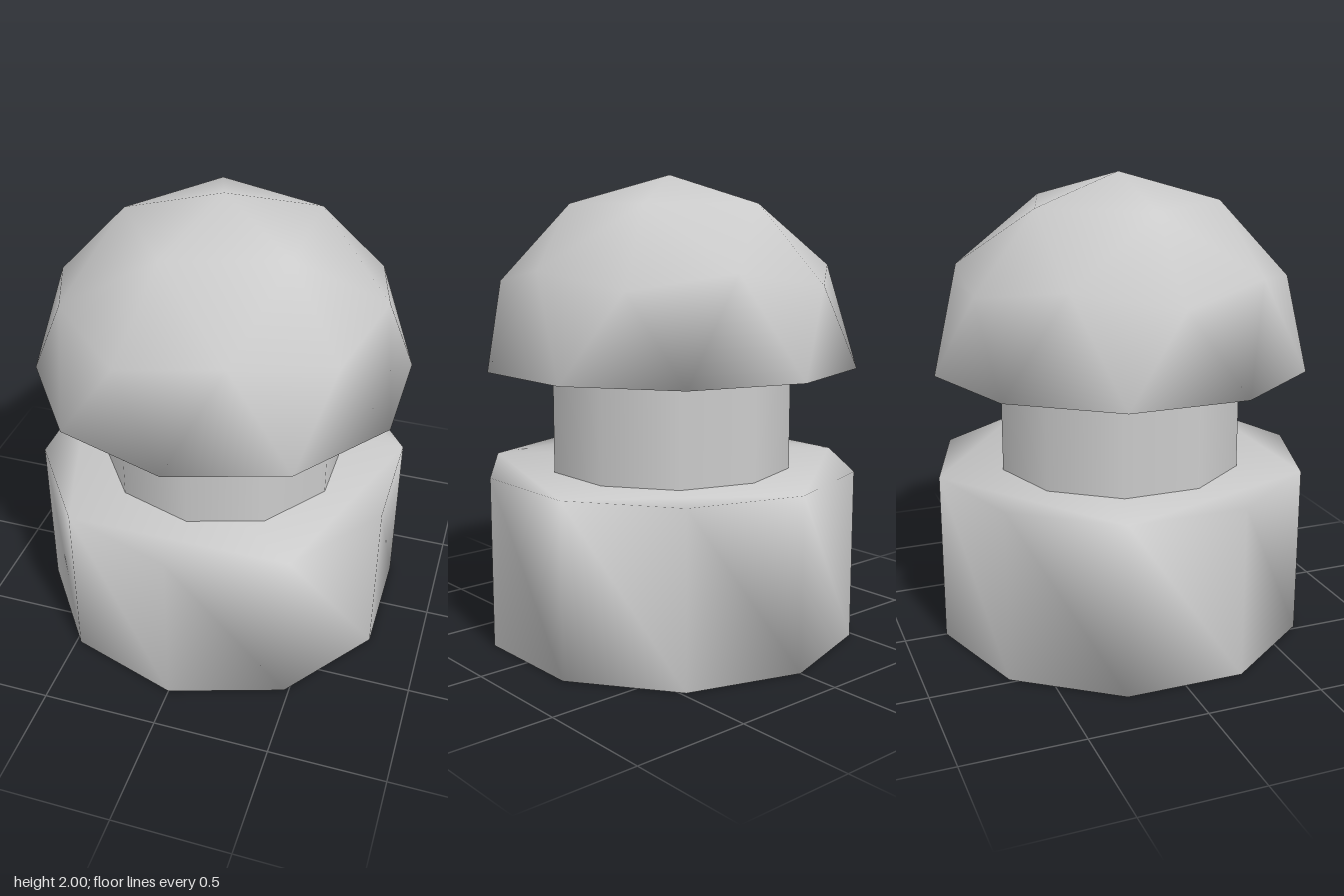
import * as THREE from 'three';
import { mergeGeometries, mergeVertices } from 'three/addons/utils/BufferGeometryUtils.js';

const SIDES = 10;
const RADIUS = 0.817;
const BASE_TOP = 0.74;
const DOME_BOTTOM = 1.188;
const DOME_HEIGHT = 2 - DOME_BOTTOM;

const material = new THREE.MeshStandardMaterial({ color: 0xcccccc });

// Ten-sided outline with corners on the front and back
function decagon(radius) {
  const points = [];
  for (let i = 0; i < SIDES; i++) {
    const a = Math.PI / 2 + (i / SIDES) * Math.PI * 2;
    points.push(new THREE.Vector2(Math.cos(a) * radius, Math.sin(a) * radius));
  }
  return new THREE.Shape(points);
}

// Keep positions only, weld the corners and shade smoothly across every edge
function weldSmooth(geometry) {
  geometry.deleteAttribute('uv');
  geometry.deleteAttribute('normal');
  const welded = mergeVertices(geometry, 1e-3);
  welded.computeVertexNormals();
  return welded;
}

// Upper half of a once-divided icosahedron, closed by a flat underside
function domeGeometry() {
  const ball = new THREE.IcosahedronGeometry(1, 1);
  ball.rotateZ(Math.atan2(1, (1 + Math.sqrt(5)) / 2)); // a corner points straight up
  const p = ball.attributes.position;
  const kept = [];
  for (let i = 0; i < p.count; i += 3) {
    const corners = [i, i + 1, i + 2];
    if (corners.every((c) => p.getY(c) > -1e-3)) {
      for (const c of corners) kept.push(p.getX(c), p.getY(c), p.getZ(c));
    }
  }
  const upper = new THREE.BufferGeometry();
  upper.setAttribute('position', new THREE.Float32BufferAttribute(kept, 3));

  const underside = new THREE.ShapeGeometry(decagon(1)).toNonIndexed();
  underside.rotateX(Math.PI / 2);
  underside.deleteAttribute('uv');
  underside.deleteAttribute('normal');

  const dome = mergeGeometries([upper, underside]);
  dome.scale(RADIUS, DOME_HEIGHT, RADIUS);
  return weldSmooth(dome);
}

export function createModel() {
  const group = new THREE.Group();
  const add = (name, geometry, y) => {
    const mesh = new THREE.Mesh(geometry, material);
    mesh.name = name;
    mesh.position.y = y;
    group.add(mesh);
  };

  // Wide solid foot
  const base = new THREE.ExtrudeGeometry(decagon(RADIUS), { depth: BASE_TOP, bevelEnabled: false });
  base.rotateX(-Math.PI / 2);
  add('base', weldSmooth(base), 0);

  // Narrow neck, its ends hidden by the base and dome
  const neckHeight = DOME_BOTTOM - BASE_TOP;
  const neck = new THREE.CylinderGeometry(0.535, 0.535, neckHeight, SIDES, 1, true);
  add('neck', neck, BASE_TOP + neckHeight / 2);

  // Rounded cap
  add('dome', domeGeometry(), DOME_BOTTOM);

  return group;
}
